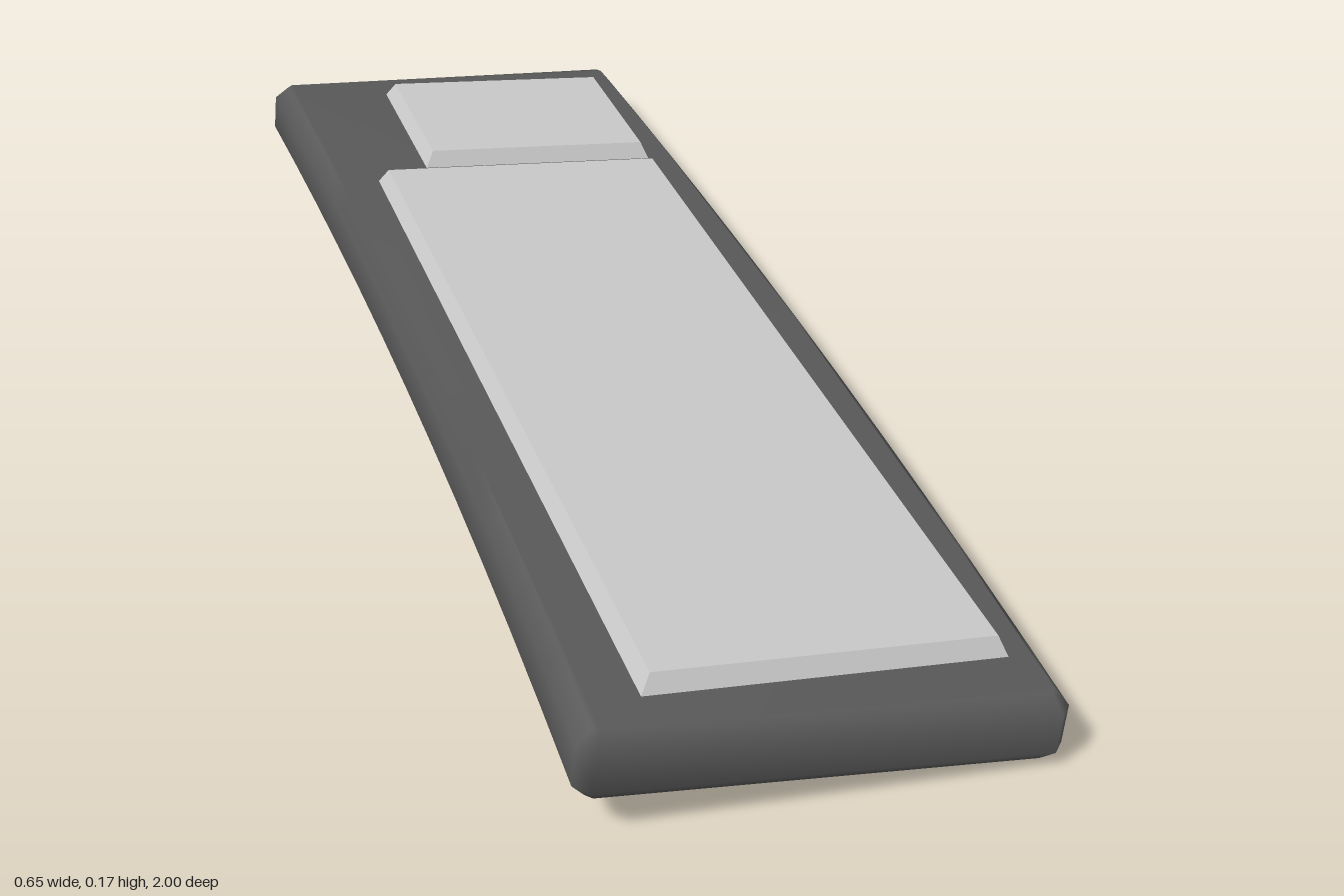
import * as THREE from 'three';
import { mergeVertices } from 'three/addons/utils/BufferGeometryUtils.js';

const TILT = -0.091;      // the whole plate leans down towards +x
const HALF = 0.05;        // half the plate thickness
const dark = new THREE.MeshStandardMaterial({ color: 0x5a5a5a });
const grey = new THREE.MeshStandardMaterial({ color: 0xcccccc, flatShading: true });

// Gently bowed slab with chamfered rim, shaded smooth
function bodyGeometry() {
  const pts = [];
  const steps = 12;
  // Long edge on +x bulges outwards
  for (let i = 0; i <= steps; i++) {
    const t = (i / steps) * 2 - 1;
    pts.push(new THREE.Vector2(0.322 - 0.02 * t * t, t * 0.98));
  }
  pts.push(new THREE.Vector2(0.285, 1), new THREE.Vector2(-0.305, 0.975));
  // Long edge on -x curves inwards by the same amount
  for (let i = steps; i >= 0; i--) {
    const t = (i / steps) * 2 - 1;
    pts.push(new THREE.Vector2(-0.305 - 0.02 * t * t, t * 0.955));
  }
  pts.push(new THREE.Vector2(-0.305, -0.975), new THREE.Vector2(0.285, -1));

  const bevel = 0.022;
  let geo = new THREE.ExtrudeGeometry(new THREE.Shape(pts), {
    depth: 2 * (HALF - bevel), bevelThickness: bevel,
    bevelSize: 0.02, bevelOffset: -0.02, bevelSegments: 1,
  });
  geo.translate(0, 0, -(HALF - bevel));
  geo.rotateX(-Math.PI / 2);
  geo.deleteAttribute('uv');
  geo.deleteAttribute('normal');
  geo = mergeVertices(geo, 1e-4);
  geo.computeVertexNormals();
  return geo;
}

// Raised pad whose top is inset all round
function pad(name, x0, x1, z0, z1) {
  const inset = 0.0125, height = 0.025;
  const w = x1 - x0, d = z1 - z0;
  const geo = new THREE.BoxGeometry(w, height, d);
  const p = geo.attributes.position;
  for (let i = 0; i < p.count; i++) {
    if (p.getY(i) > 0) {
      p.setX(i, p.getX(i) - Math.sign(p.getX(i)) * inset);
      p.setZ(i, p.getZ(i) - Math.sign(p.getZ(i)) * inset);
    }
  }
  geo.computeVertexNormals();
  const mesh = new THREE.Mesh(geo, grey);
  mesh.name = name;
  mesh.position.set((x0 + x1) / 2, HALF + height / 2, (z0 + z1) / 2);
  return mesh;
}

export function createModel() {
  const model = new THREE.Group();
  model.name = 'padPanel';

  const plate = new THREE.Group();
  plate.name = 'tiltedPlate';
  plate.rotation.z = TILT;
  plate.position.y = 0.0775;

  const body = new THREE.Mesh(bodyGeometry(), dark);
  body.name = 'body';
  plate.add(body);
  plate.add(pad('longPad', -0.229, 0.253, -0.548, 0.9));
  plate.add(pad('shortPad', -0.138, 0.253, -0.9, -0.59));

  model.add(plate);
  return model;
}
